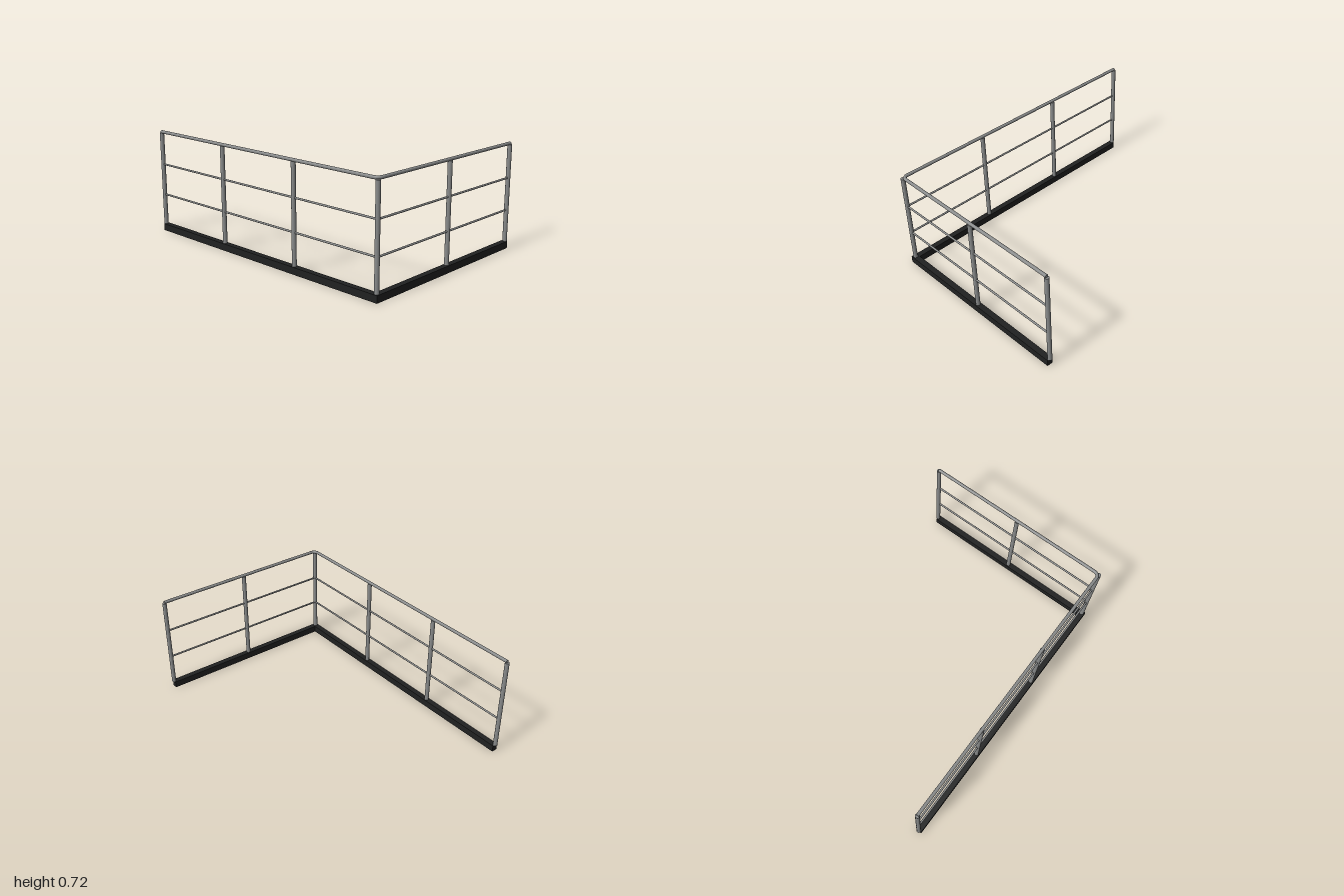
import * as THREE from 'three';

export function createModel() {
  const group = new THREE.Group();
  const steel = new THREE.MeshStandardMaterial({ color: 0x888a8a });
  steel.name = 'grey steel';
  const dark = new THREE.MeshStandardMaterial({ color: 0x202121 });
  dark.name = 'dark base';

  const left = -0.985, back = -0.658;        // free ends of the two runs
  const cx = 0.98, cz = 0.653;               // corner post
  const half = 0.02, baseTop = 0.047;
  const railY = 0.708, railR = 0.011, bend = 0.035;

  const add = (name, geometry, material) => {
    const mesh = new THREE.Mesh(geometry, material);
    mesh.name = name;
    group.add(mesh);
    return mesh;
  };

  // Round bar between two points
  const bar = (name, a, b, radius) => {
    const from = new THREE.Vector3(...a), to = new THREE.Vector3(...b);
    const dir = to.clone().sub(from);
    const mesh = add(name, new THREE.CylinderGeometry(radius, radius, dir.length(), 24), steel);
    mesh.position.copy(from).add(to).multiplyScalar(0.5);
    mesh.quaternion.setFromUnitVectors(new THREE.Vector3(0, 1, 0), dir.normalize());
  };

  // L-shaped base kerb, drawn in plan with y standing for -z
  const plan = new THREE.Shape([
    [left, -cz - half], [cx + half, -cz - half], [cx + half, -back],
    [cx - half, -back], [cx - half, -cz + half], [left, -cz + half],
  ].map(([x, y]) => new THREE.Vector2(x, y)));
  const base = new THREE.ExtrudeGeometry(plan, { depth: baseTop, bevelEnabled: false });
  add('base', base.rotateX(-Math.PI / 2), dark);

  // Posts: four along the front, two more along the side
  const posts = [];
  for (let i = 0; i <= 3; i++) posts.push([left + (cx - left) * i / 3, cz]);
  for (let i = 1; i <= 2; i++) posts.push([cx, cz + (back - cz) * i / 2]);
  for (const [x, z] of posts) bar('post', [x, baseTop, z], [x, 0.7, z], 0.0148);

  // Thin middle rails
  for (const y of [0.262, 0.479]) {
    bar('middleRailFront', [left, y, cz], [cx, y, cz], 0.0065);
    bar('middleRailSide', [cx, y, cz], [cx, y, back], 0.0065);
  }

  // Handrail with a rounded corner
  bar('handrailFront', [left, railY, cz], [cx - bend, railY, cz], railR);
  bar('handrailSide', [cx, railY, cz - bend], [cx, railY, back], railR);
  const elbow = new THREE.TorusGeometry(bend, railR, 24, 16, Math.PI / 2).rotateX(Math.PI / 2);
  add('handrailCorner', elbow, steel).position.set(cx - bend, railY, cz - bend);

  return group;
}
